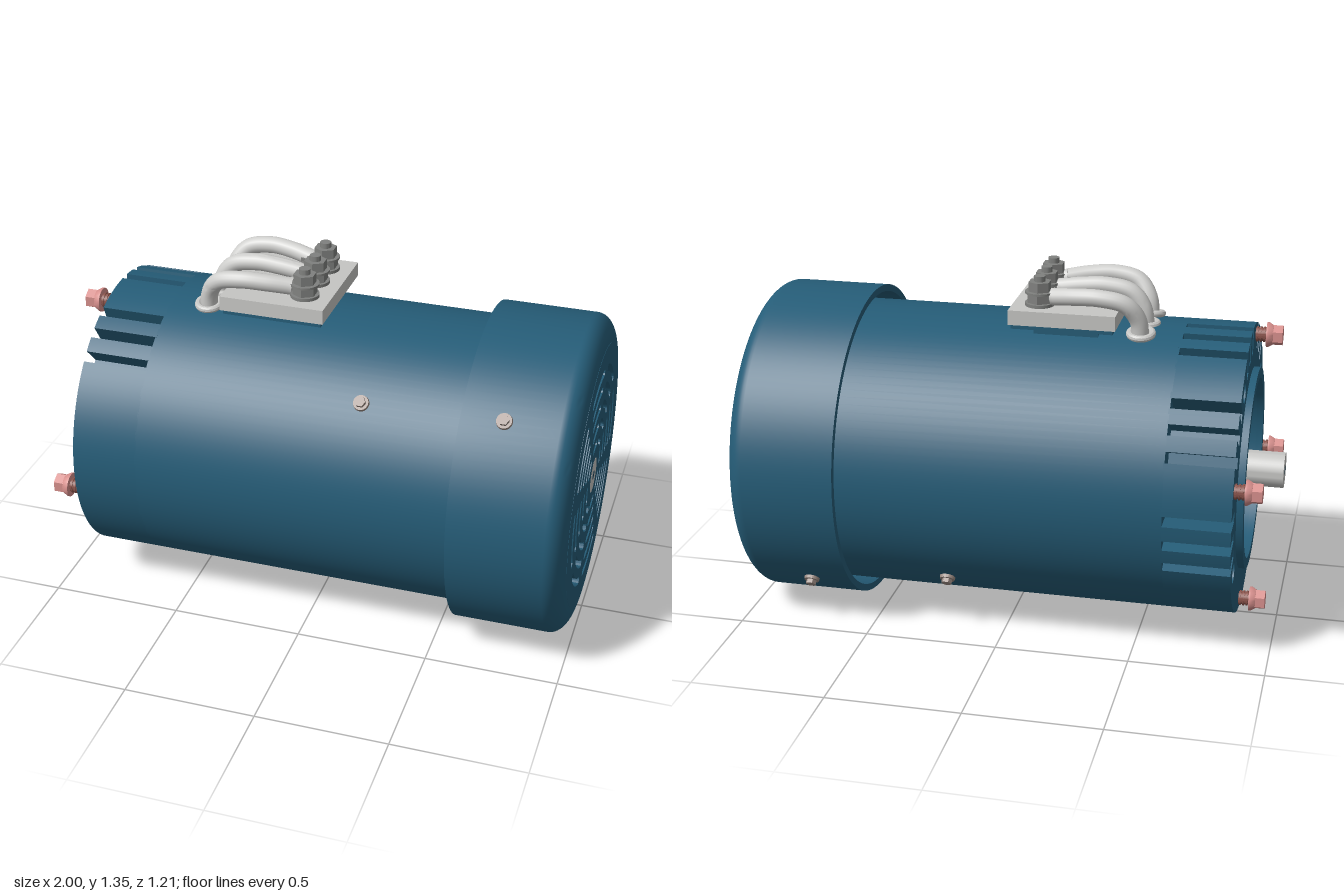
import * as THREE from 'three';
import { toCreasedNormals } from 'three/addons/utils/BufferGeometryUtils.js';

const paint = (name, color, side = THREE.FrontSide) => {
  const m = new THREE.MeshStandardMaterial({ color, side });
  m.name = name;
  return m;
};
const RAD = Math.PI / 180, SEG = 120;
const polar = (r, deg) => new THREE.Vector2(r * Math.cos(deg * RAD), r * Math.sin(deg * RAD));
const circle = (r, cx = 0, cy = 0, n = SEG) =>
  Array.from({ length: n }, (_, i) => polar(r, (i * 360) / n).add(new THREE.Vector2(cx, cy)));

export function createModel() {
  const blue = paint('blue paint', 0x255c77);
  const lightGrey = paint('light grey', 0xc6c6c4);
  const cableGrey = paint('cable grey', 0xcfcfcd);
  const steel = paint('dark steel', 0x80817f);
  const pink = paint('pink bolt', 0xd68f8c);
  const brown = paint('brown thread', 0x8a544c);
  const tan = paint('screw tan', 0x9c8c84);
  const dark = paint('dark bore', 0x1d4354);

  const add = (parent, name, geo, mat, x = 0, y = 0, z = 0) => {
    const mesh = new THREE.Mesh(toCreasedNormals(geo, 0.6), mat);
    mesh.name = name;
    mesh.position.set(x, y, z);
    parent.add(mesh);
    return mesh;
  };
  // Solids of revolution and extrusions along the motor axis (local z)
  const turned = (pts, n = SEG) =>
    new THREE.LatheGeometry(pts.map(([r, z]) => new THREE.Vector2(r, z)), n).rotateX(Math.PI / 2);
  const rod = (r, z0, z1, n = 32) =>
    new THREE.CylinderGeometry(r, r, z1 - z0, n).rotateX(Math.PI / 2).translate(0, 0, (z0 + z1) / 2);
  const plate = (outline, holes, z0, z1) => {
    const shape = new THREE.Shape(outline);
    shape.holes = holes.map((h) => new THREE.Path(h));
    return new THREE.ExtrudeGeometry(shape, { depth: z1 - z0, bevelEnabled: false }).translate(0, 0, z0);
  };

  const model = new THREE.Group();
  model.name = 'electricMotor';
  // Local z becomes the model's +x
  const motor = new THREE.Group();
  motor.name = 'motor';
  motor.rotation.y = Math.PI / 2;
  motor.position.y = 0.604;
  model.add(motor);

  // Housing, with the floor of the front recess
  const R = 0.547;
  add(motor, 'housing', turned([[0, -0.73], [0.36, -0.73], [0.36, -0.615], [R, -0.615], [R, 0.64], [0, 0.64]]), blue);

  // Front flange with groups of three radial cooling slots and open bolt holes
  const half = 0.02, floor = 0.45, rim = [];
  const notches = [123, 78, 33, -12].flatMap((a) => [a - 10.3, a, a + 10.3]).map((a) => (a + 360) % 360);
  const spread = Math.asin(half / R) / RAD;
  for (const a of notches) {
    const out = polar(1, a), across = polar(half, a + 90);
    const at = (r, s) => out.clone().multiplyScalar(r).addScaledVector(across, s);
    const edge = Math.sqrt(R * R - half * half);
    rim.push({ a, pts: [at(edge, -1), at(floor, -1), at(floor, 1), at(edge, 1)] });
  }
  for (let a = 0; a < 360; a += 3) {
    const clear = notches.every((n) => Math.abs(((a - n + 540) % 360) - 180) > spread + 0.2);
    if (clear) rim.push({ a, pts: [polar(R, a)] });
  }
  rim.sort((p, q) => p.a - q.a);
  const flangeHoles = [56, 146, 236, 326].map((a) => {
    const c = polar(0.465, a);
    return circle(0.04, c.x, c.y, 24);
  });
  add(motor, 'frontFlange', plate(rim.flatMap((e) => e.pts), [circle(0.34), ...flangeHoles], -0.86, -0.61), blue);
  add(motor, 'pilotRing', plate(circle(0.38), [circle(0.34)], -0.885, -0.86), blue);

  // Rear cowl shell with rounded edge
  const cowl = [[0.577, 0.58], [0.603, 0.58], [0.603, 0.93]];
  for (let i = 1; i <= 10; i++) {
    const t = (i / 10) * (Math.PI / 2);
    cowl.push([0.503 + 0.1 * Math.cos(t), 0.93 + 0.069 * Math.sin(t)]);
  }
  cowl.push([0.49, 0.999], [0.49, 0.972], [0.577, 0.91], [0.577, 0.58]);
  add(motor, 'cowl', turned(cowl), blue);

  // Cowl grille: five rings of eight round-ended slots
  const slot = (r, mid, w = 0.0145) => {
    const h = 17.5 - w / r / RAD, pts = [];
    for (let i = 0; i <= 8; i++) pts.push(polar(r + w, mid - h + (i * h) / 4));
    for (let i = 1; i < 5; i++) pts.push(polar(r, mid + h).add(polar(w, mid + h + i * 36)));
    for (let i = 0; i <= 8; i++) pts.push(polar(r - w, mid + h - (i * h) / 4));
    for (let i = 1; i < 5; i++) pts.push(polar(r, mid - h).add(polar(w, mid - h + 180 + i * 36)));
    return pts;
  };
  const slots = [];
  for (const r of [0.132, 0.2, 0.27, 0.338, 0.406])
    for (let k = 0; k < 8; k++) slots.push(slot(r, 96.5 + k * 45));
  add(motor, 'cowlGrille', plate(circle(0.5), [circle(0.0675, 0, 0, 48), ...slots], 0.972, 1.0), blue);

  // Shaft through the whole motor, with centre holes
  add(motor, 'shaft', rod(0.067, -1, 1, 48), lightGrey);
  for (const z of [-1, 1]) add(motor, 'shaftCentreHole', rod(0.017, z - 0.001, z + 0.001, 20), dark);
  add(motor, 'shaftCollar', rod(0.095, -0.74, -0.72, 48), blue);

  // Mounting bolts on the front flange
  for (let k = 0; k < 4; k++) {
    const bolt = new THREE.Group(), c = polar(0.505, 101.5 + k * 90);
    bolt.name = 'mountingBolt';
    bolt.position.set(c.x, c.y, 0);
    add(bolt, 'boltThread', rod(0.025, -0.91, -0.84, 20), brown);
    for (let i = 0; i < 3; i++)
      add(bolt, 'threadRidge', rod(0.029, -0.895 + i * 0.013, -0.889 + i * 0.013, 20), brown);
    add(bolt, 'boltFlange', turned([[0, -0.925], [0.036, -0.925], [0.046, -0.908], [0.046, -0.9], [0, -0.9]], 24), pink);
    add(bolt, 'boltHead', rod(0.038, -0.96, -0.92, 6), pink);
    motor.add(bolt);
  }

  // Small radial screws, on opposite sides of housing and cowl
  for (const p of [135, -45])
    for (const [r, z] of [[R, 0.21], [0.603, 0.735]]) {
      const screw = new THREE.Group();
      screw.name = 'sideScrew';
      screw.rotation.z = (p - 90) * RAD;
      add(screw, 'screwWasher', new THREE.CylinderGeometry(0.028, 0.03, 0.012, 20), tan, 0, r + 0.005, z);
      add(screw, 'screwHead', new THREE.CylinderGeometry(0.02, 0.02, 0.018, 6), tan, 0, r + 0.018, z);
      motor.add(screw);
    }

  // Terminal block, slightly tilted
  const block = new THREE.Group();
  block.name = 'terminalBlock';
  block.position.set(0, 1.235, -0.015);
  block.rotation.x = -0.02;
  model.add(block);
  add(block, 'terminalBoard', new THREE.BoxGeometry(0.395, 0.055, 0.445), lightGrey, -0.1875, -0.0275, 0);
  add(block, 'boardGasket', new THREE.BoxGeometry(0.375, 0.016, 0.43), blue, -0.1875, -0.063, 0);
  add(block, 'boardPedestal', new THREE.BoxGeometry(0.24, 0.07, 0.3), blue, -0.19, -0.1, 0);

  // Studs, nuts and cables; the outer cables bow away from the centre
  const disc = (r, h, n) => new THREE.CylinderGeometry(r, r, h, n);
  for (const side of [-1, 0, 1]) {
    const z = side * 0.125 - 0.005, x = -0.09;
    add(block, 'baseWasher', disc(0.054, 0.012, 28), steel, x, 0.006, z);
    add(block, 'lowerNut', disc(0.047, 0.034, 6), steel, x, 0.029, z);
    add(block, 'upperWasher', disc(0.054, 0.008, 28), steel, x, 0.05, z);
    add(block, 'upperNut', disc(0.043, 0.036, 6), steel, x, 0.072, z);
    add(block, 'stud', disc(0.021, 0.11, 20), steel, x, 0.055, z);
    add(block, 'cableLug', new THREE.BoxGeometry(0.08, 0.014, 0.05), steel, x - 0.05, 0.035, z);
    const bow = side * 0.042;
    const path = new THREE.CatmullRomCurve3([
      [-0.465, -0.11, 0], [-0.455, -0.03, bow * 0.3], [-0.41, 0.03, bow * 0.85], [-0.32, 0.05, bow],
      [-0.23, 0.046, bow * 0.7], [-0.14, 0.034, bow * 0.1],
    ].map(([px, py, dz]) => new THREE.Vector3(px, py, z + dz)));
    add(block, 'cable', new THREE.TubeGeometry(path, 32, 0.032, 16), cableGrey);
    const end = add(block, 'cableEnd', disc(0.032, 0.012, 16), cableGrey, -0.142, 0.034, z);
    end.rotation.z = Math.PI / 2 - 0.13;
    const grommet = add(block, 'cableGrommet', new THREE.TorusGeometry(0.042, 0.013, 10, 28), lightGrey, -0.465, -0.085, z);
    grommet.rotation.x = Math.PI / 2 + side * 0.2;
  }
  return model;
}
